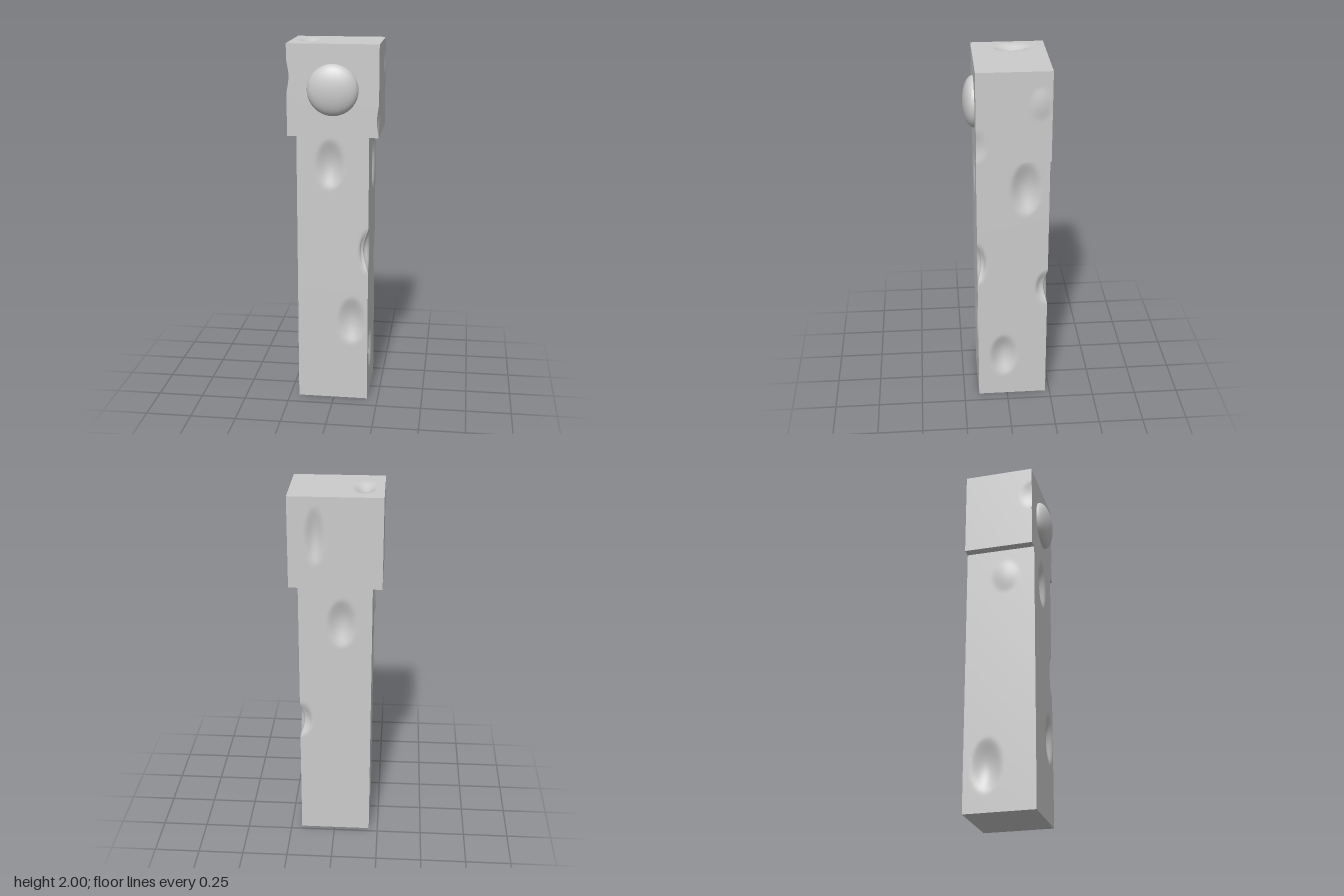
import * as THREE from 'three';

const material = new THREE.MeshStandardMaterial({ color: 0xcccccc });

// Box spanning min..max, finely divided, with soft dents pushed into its faces.
// Each dent: centre, radii of influence, and push (the deepest displacement).
function dentedBox(name, min, max, dents) {
  const lo = new THREE.Vector3(...min);
  const hi = new THREE.Vector3(...max);
  const size = hi.clone().sub(lo);
  const mid = lo.clone().add(hi).multiplyScalar(0.5);
  const seg = size.toArray().map((s) => Math.ceil(s / 0.014));
  const geometry = new THREE.BoxGeometry(...size.toArray(), ...seg);
  geometry.translate(mid.x, mid.y, mid.z);
  const pos = geometry.attributes.position;
  const p = new THREE.Vector3();
  const q = new THREE.Vector3();
  for (let i = 0; i < pos.count; i++) {
    p.fromBufferAttribute(pos, i);
    const moved = p.clone();
    for (const { at, radius, push } of dents) {
      q.set(...at).sub(p).divide(new THREE.Vector3(...radius));
      const d2 = q.lengthSq();
      if (d2 < 1) moved.addScaledVector(new THREE.Vector3(...push), (1 - d2) ** 1.5);
    }
    pos.setXYZ(i, moved.x, moved.y, moved.z);
  }
  geometry.computeVertexNormals();
  const mesh = new THREE.Mesh(geometry, material);
  mesh.name = name;
  return mesh;
}

export function createModel() {
  const model = new THREE.Group();
  model.name = 'post';

  // Long square shaft
  model.add(dentedBox('shaft', [-0.2, 0, -0.225], [0.19, 1.51, 0.165], [
    // front
    { at: [-0.02, 1.36, 0.165], radius: [0.08, 0.14, 0.06], push: [0, 0, -0.03] },
    { at: [0.1, 0.47, 0.165], radius: [0.08, 0.14, 0.06], push: [0, 0, -0.03] },
    // left side
    { at: [0.19, 1.33, -0.1], radius: [0.06, 0.16, 0.085], push: [-0.035, 0, 0] },
    { at: [0.19, 0.27, 0.02], radius: [0.06, 0.14, 0.08], push: [-0.035, 0, 0] },
    // left front and left back edges
    { at: [0.19, 0.88, 0.165], radius: [0.05, 0.13, 0.05], push: [-0.03, 0, -0.022] },
    { at: [0.19, 0.72, -0.225], radius: [0.07, 0.11, 0.07], push: [-0.026, 0, 0.022] },
    // back
    { at: [-0.04, 1.31, -0.225], radius: [0.08, 0.14, 0.06], push: [0, 0, 0.03] },
    // right side: a dent low down and a slight swelling higher up
    { at: [-0.2, 0.25, -0.1], radius: [0.06, 0.15, 0.085], push: [0.035, 0, 0] },
    { at: [-0.2, 1.345, 0], radius: [0.06, 0.1, 0.08], push: [-0.011, 0, 0] },
  ]));

  // Wider head block, flush at front and back
  model.add(dentedBox('head', [-0.25, 1.51, -0.225], [0.24, 2, 0.165], [
    { at: [-0.15, 2, -0.05], radius: [0.06, 0.06, 0.1], push: [0, -0.025, 0] },
    { at: [0.1, 1.79, -0.225], radius: [0.05, 0.16, 0.05], push: [0, 0, 0.022] },
    { at: [-0.25, 1.83, 0.165], radius: [0.05, 0.09, 0.07], push: [0.012, 0, 0] },
    { at: [0.24, 1.6, 0.165], radius: [0.04, 0.09, 0.06], push: [-0.01, 0, 0] },
    { at: [0.24, 1.83, -0.165], radius: [0.05, 0.09, 0.06], push: [0.009, 0, 0] },
  ]));

  // Flattened round knob on the front of the head
  const knob = new THREE.Mesh(new THREE.SphereGeometry(1, 32, 20), material);
  knob.name = 'knob';
  knob.scale.set(0.137, 0.137, 0.058);
  knob.position.set(-0.005, 1.76, 0.165);
  model.add(knob);

  return model;
}
